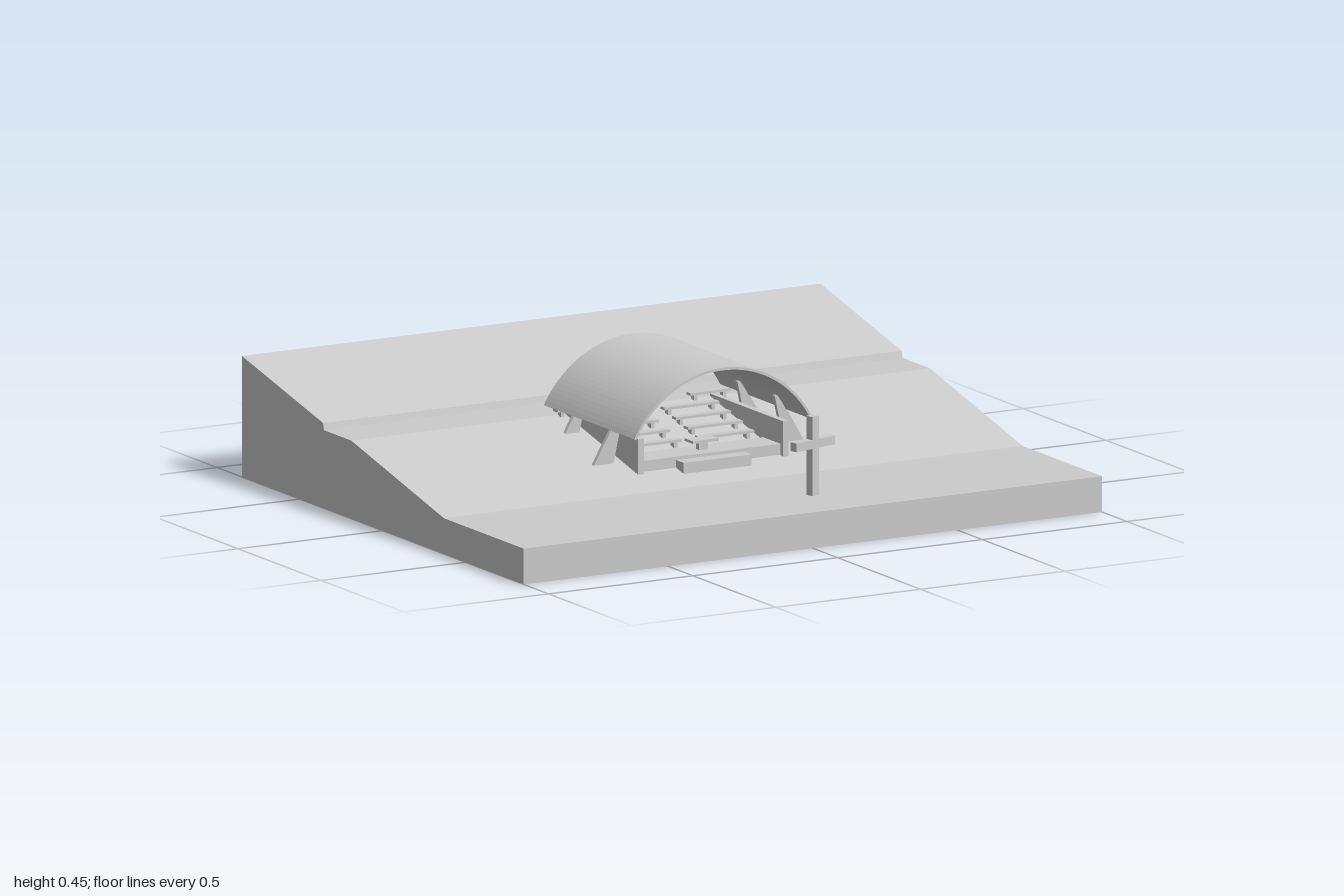
import * as THREE from 'three';

const material = new THREE.MeshStandardMaterial({ color: 0xcccccc });
const flat = new THREE.MeshStandardMaterial({ color: 0xcccccc, flatShading: true });

function add(parent, name, geometry, mat = flat) {
  const mesh = new THREE.Mesh(geometry, mat);
  mesh.name = name;
  parent.add(mesh);
  return mesh;
}

// Box given by its minimum and maximum corners
function box(parent, name, [x0, y0, z0], [x1, y1, z1]) {
  const mesh = add(parent, name, new THREE.BoxGeometry(x1 - x0, y1 - y0, z1 - z0));
  mesh.position.set((x0 + x1) / 2, (y0 + y1) / 2, (z0 + z1) / 2);
  return mesh;
}

function extrude(points, depth) {
  const shape = new THREE.Shape(points.map(([x, y]) => new THREE.Vector2(x, y)));
  return new THREE.ExtrudeGeometry(shape, { depth, bevelEnabled: false });
}

// Height of the slope under the shelter
const slopeY = (z) => 0.11 + (0.37 - z) * 0.232;

export function createModel() {
  const model = new THREE.Group();
  model.name = 'hillsideChapel';

  // Hillside: side profile as (-z, y), swept across x
  const hill = add(model, 'hillside', extrude([
    [-0.85, 0], [0.85, 0], [0.85, 0.372], [0.36, 0.261], [0.355, 0.24],
    [0.19, 0.24], [-0.37, 0.11], [-0.85, 0.11],
  ], 2));
  hill.rotation.y = Math.PI / 2;
  hill.position.x = -1;

  // Thin arched roof
  const R = 0.348, cy = 0.102, t = 0.008;
  const a = Math.asin(0.308 / R);
  const arch = new THREE.Shape();
  arch.absarc(0, cy, R, Math.PI / 2 - a, Math.PI / 2 + a, false);
  arch.absarc(0, cy, R - t, Math.PI / 2 + a, Math.PI / 2 - a, true);
  arch.closePath();
  const roof = add(model, 'archedRoof', new THREE.ExtrudeGeometry(arch, {
    depth: 0.545, bevelEnabled: false, curveSegments: 24,
  }), material);
  roof.position.z = -0.235;

  // Tapered buttresses carrying the roof edges
  for (const side of [-1, 1]) {
    for (const z of [0.155, -0.07]) {
      const points = [[0.295, 0.16], [0.363, 0.16], [0.303, 0.262], [0.272, 0.306], [0.262, 0.306]]
        .map(([x, y]) => [x * side, y]);
      const buttress = add(model, 'buttress', extrude(points, 0.014));
      buttress.position.z = z - 0.007;
    }
  }

  // Low side walls, level on top
  for (const side of [-1, 1]) {
    const wall = box(model, 'sideWall', [-0.01, 0.13, -0.19], [0.01, 0.247, 0.25]);
    wall.position.x = 0.25 * side;
  }

  // Stage with a front step and a small table
  box(model, 'stage', [-0.245, 0.13, 0.13], [0.245, 0.175, 0.235]);
  box(model, 'frontStep', [-0.12, 0.13, 0.22], [0.115, 0.165, 0.28]);
  box(model, 'tableLeg', [-0.015, 0.17, 0.17], [0.015, 0.2, 0.19]);
  box(model, 'tableTop', [-0.045, 0.2, 0.155], [0.045, 0.208, 0.205]);

  // Rows of benches climbing the slope, either side of an aisle
  for (let i = 0; i < 5; i++) {
    const z = 0.1 - i * 0.07;
    const y = slopeY(z);
    const [x0, x1] = i === 4 ? [0.16, 0.3] : [0.03, 0.22];
    for (const side of [-1, 1]) {
      const bench = new THREE.Group();
      bench.name = 'bench';
      const w = (x1 - x0) / 2;
      box(bench, 'benchSeat', [-w, 0.015, -0.013], [w, 0.023, 0.013]);
      for (const x of [-w + 0.02, w - 0.02]) {
        box(bench, 'benchLeg', [x - 0.006, -0.01, -0.01], [x + 0.006, 0.016, 0.01]);
      }
      bench.position.set(side * (x0 + x1) / 2, y, z);
      model.add(bench);
    }
  }

  // Free-standing cross, turned a little
  const cross = new THREE.Group();
  cross.name = 'cross';
  box(cross, 'crossPost', [-0.014, 0, -0.013], [0.014, 0.245, 0.013]);
  box(cross, 'crossArm', [-0.08, 0.147, -0.013], [0.08, 0.174, 0.013]);
  cross.position.set(0.12, 0.108, 0.64);
  cross.rotation.y = 0.25;
  model.add(cross);

  return model;
}
